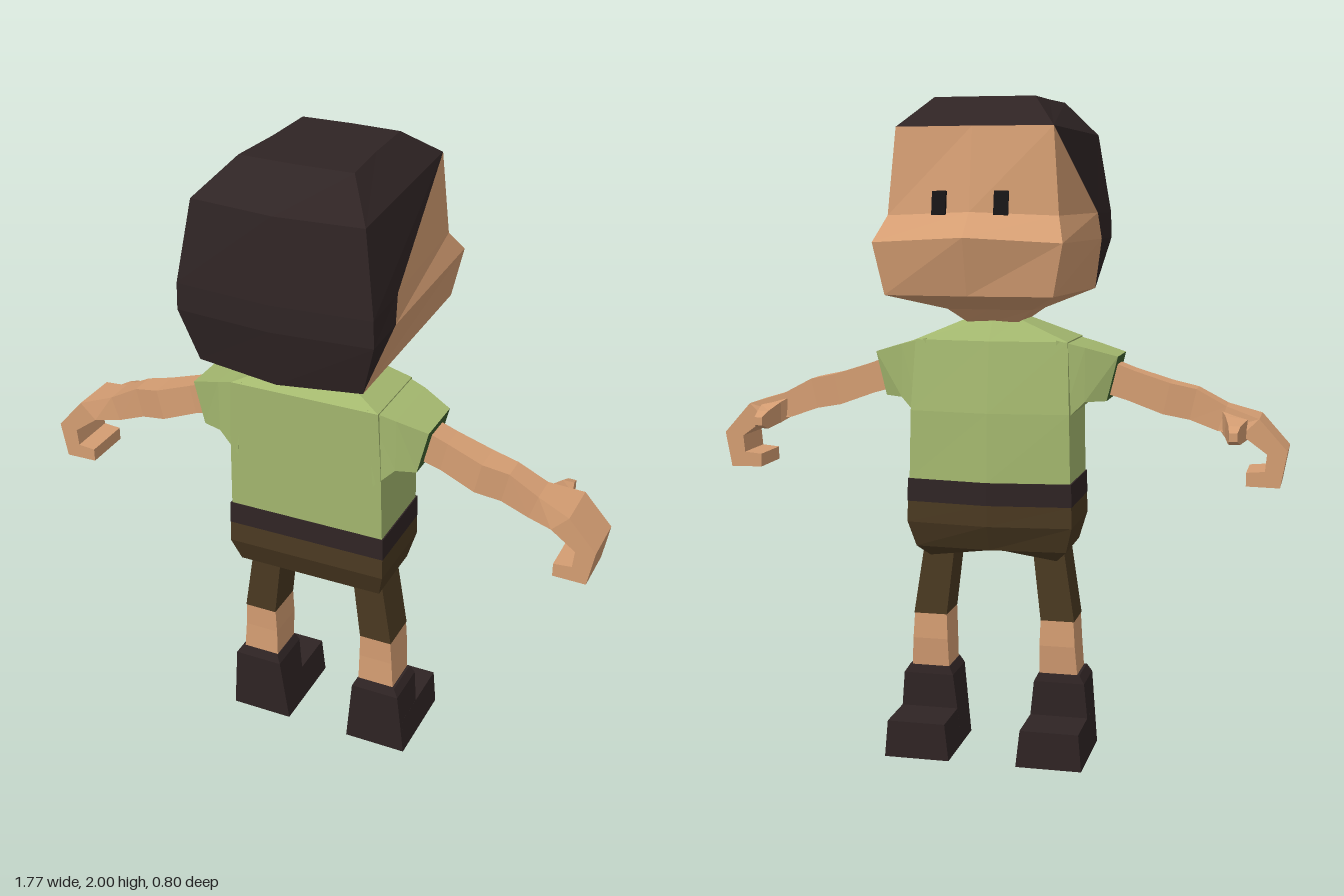
import * as THREE from 'three';

const mat = (name, color) => {
  const m = new THREE.MeshStandardMaterial({ color, flatShading: true, side: THREE.DoubleSide });
  m.name = name;
  return m;
};

// Mirrors half a cross-section (back centre to front centre) into a full ring
const ring = (half) => [
  ...half,
  ...half.slice(1, -1).reverse().map(([x, y, z]) => [-x, y, z]),
];

// Body section: half width, back z, front corner z, front centre z
const section = (y, w, back, front, centre = front, yMid = y) =>
  ring([[0, yMid, back], [w, y, back], [w, y, front], [0, yMid, centre]]);

// Flat-sided box section
const rect = (y, x0, x1, z0, z1) => [[x0, y, z1], [x1, y, z1], [x1, y, z0], [x0, y, z0]];

// Skins rings into a capped solid; pick(level, column) chooses the material.
// Caps have level -1 (first) and rings.length - 1 (last).
function loft(name, rings, materials, pick = () => 0) {
  const lists = materials.map(() => []);
  const n = rings[0].length, last = rings.length - 1;
  const tri = (k, a, b, c) => lists[k].push([a, b, c]);
  for (let l = 0; l < last; l++) {
    for (let i = 0; i < n; i++) {
      const j = (i + 1) % n, k = pick(l, i);
      tri(k, rings[l][i], rings[l][j], rings[l + 1][j]);
      tri(k, rings[l][i], rings[l + 1][j], rings[l + 1][i]);
    }
  }
  for (let i = 1; i < n - 1; i++) {
    tri(pick(-1, i), rings[0][0], rings[0][i + 1], rings[0][i]);
    tri(pick(last, i), rings[last][0], rings[last][i], rings[last][i + 1]);
  }
  // Turn the faces outward whichever way the rings run
  let volume = 0;
  const v = (p) => new THREE.Vector3(...p);
  lists.flat().forEach(([a, b, c]) => { volume += v(a).dot(v(b).cross(v(c))); });
  const geo = new THREE.BufferGeometry(), pos = [];
  lists.forEach((list, k) => {
    const start = pos.length / 3;
    list.forEach(([a, b, c]) => pos.push(...a, ...(volume < 0 ? c : b), ...(volume < 0 ? b : c)));
    geo.addGroup(start, pos.length / 3 - start, k);
  });
  geo.setAttribute('position', new THREE.Float32BufferAttribute(pos, 3));
  geo.computeVertexNormals();
  const mesh = new THREE.Mesh(geo, materials.length > 1 ? materials : materials[0]);
  mesh.name = name;
  return mesh;
}

export function createModel() {
  const model = new THREE.Group();
  model.name = 'figure';
  const skin = mat('skin', 0xd49d72);
  const dark = mat('dark brown', 0x2f2424);
  const green = mat('shirt green', 0xa3b76e);
  const lining = mat('sleeve lining', 0x40602f);
  const brown = mat('shorts brown', 0x4a3921);
  const black = mat('eye black', 0x171516);

  // Head: columns run back centre, back corner, hairline, face corner, face centre
  const head = [
    [[0, 1.34, 0.12], [0.08, 1.34, 0.12], [0.08, 1.34, 0.05], [0.08, 1.34, -0.03], [0, 1.34, -0.03]],
    [[0, 1.375, 0.13], [0.13, 1.375, 0.13], [0.14, 1.38, 0.03], [0.13, 1.38, -0.07], [0, 1.38, -0.08]],
    [[0, 1.41, 0.365], [0.25, 1.425, 0.34], [0.25, 1.425, 0.34], [0.245, 1.435, -0.335], [0, 1.435, -0.35]],
    [[0, 1.585, 0.4], [0.295, 1.585, 0.375], [0.29, 1.585, 0.215], [0.275, 1.585, -0.355], [0, 1.6, -0.4]],
    [[0, 1.665, 0.4], [0.293, 1.665, 0.375], [0.282, 1.665, 0.185], [0.25, 1.66, -0.28], [0, 1.67, -0.32]],
    [[0, 1.905, 0.37], [0.255, 1.905, 0.345], [0.23, 1.91, -0.26], [0.23, 1.91, -0.26], [0, 1.91, -0.28]],
    [[0, 2, 0.23], [0.17, 2, 0.225], [0.155, 2, 0.05], [0.15, 2, -0.13], [0, 2, -0.135]],
  ].map(ring);
  model.add(loft('head', head, [skin, dark], (level, col) =>
    level < 2 ? 0 : level > 4 ? 1 : (col >= 2 && col <= 5 ? 0 : 1)));

  // Torso, belt and shorts
  model.add(loft('shirt', [
    section(0.86, 0.25, 0.187, -0.08, -0.113),
    section(1.07, 0.245, 0.192, -0.08, -0.108),
    section(1.285, 0.235, 0.197, -0.055, -0.08),
    section(1.35, 0.08, 0.12, -0.02, -0.03),
  ], [green]));
  model.add(loft('belt', [
    section(0.79, 0.256, 0.192, -0.085, -0.115),
    section(0.86, 0.254, 0.19, -0.085, -0.115),
  ], [dark]));
  model.add(loft('shorts', [
    section(0.61, 0.2, 0.115, -0.025, -0.03, 0.64),
    section(0.645, 0.235, 0.165, -0.06, -0.075),
    section(0.725, 0.256, 0.195, -0.085, -0.113),
    section(0.79, 0.255, 0.192, -0.085, -0.114),
  ], [brown]));

  for (const s of [1, -1]) {
    const side = s > 0 ? 'left' : 'right';
    const mirror = (rings) => rings.map((r) => r.map(([x, y, z]) => [s * x, y, z]));
    // Limb section: upper point, lower point, z range
    const limb = ([ux, uy, lx, ly, z0, z1]) =>
      [[ux, uy, z0], [ux, uy, z1], [lx, ly, z1], [lx, ly, z0]];

    // Sleeve with a dark opening
    model.add(loft(side + 'Sleeve', mirror([
      [0.2, 1.29, 0.22, 1.04, -0.06, 0.193],
      [0.285, 1.268, 0.285, 1.105, -0.04, 0.183],
      [0.378, 1.24, 0.345, 1.105, 0, 0.165],
    ].map(limb)), [green, lining], (level) => (level === 2 ? 1 : 0)));

    // Arm running into a curled hand
    model.add(loft(side + 'ArmAndHand', mirror([
      [0.34, 1.225, 0.33, 1.125, 0.04, 0.122],
      [0.42, 1.195, 0.4, 1.105, 0.04, 0.122],
      [0.53, 1.16, 0.51, 1.065, 0.04, 0.135],
      [0.61, 1.143, 0.59, 1.05, 0.047, 0.125],
      [0.7, 1.095, 0.675, 1.02, 0.04, 0.13],
      [0.8, 1.065, 0.75, 1.015, 0, 0.155],
      [0.885, 0.97, 0.825, 0.96, 0, 0.155],
      [0.865, 0.86, 0.82, 0.908, 0, 0.155],
      [0.765, 0.862, 0.765, 0.903, 0, 0.155],
    ].map(limb)), [skin]));

    // Thumb pointing forward
    model.add(loft(side + 'Thumb', mirror([
      [[0.68, 1.02, 0.06], [0.78, 1.01, 0.06], [0.78, 1.065, 0.06], [0.68, 1.085, 0.06]],
      [[0.7, 1.005, 0.01], [0.765, 1, 0.01], [0.765, 1.06, 0.01], [0.7, 1.07, 0.01]],
      [[0.715, 0.995, -0.06], [0.75, 0.995, -0.06], [0.75, 1.05, -0.06], [0.715, 1.05, -0.06]],
      [[0.72, 1.01, -0.1], [0.745, 1.01, -0.1], [0.745, 1.035, -0.1], [0.72, 1.035, -0.1]],
    ]), [skin]));

    // Leg, trouser section above bare shin
    model.add(loft(side + 'TrouserLeg', mirror([
      rect(0.42, 0.15, 0.255, -0.022, 0.11),
      rect(0.635, 0.125, 0.222, -0.018, 0.112),
    ]), [brown]));
    model.add(loft(side + 'Shin', mirror([
      rect(0.24, 0.145, 0.265, -0.012, 0.108),
      rect(0.34, 0.147, 0.258, -0.024, 0.106),
      rect(0.42, 0.15, 0.253, -0.022, 0.108),
    ]), [skin]));

    // Boot: shaft with a turned-in top, and foot
    model.add(loft(side + 'BootShaft', mirror([
      rect(0, 0.105, 0.308, -0.01, 0.112),
      rect(0.225, 0.13, 0.288, -0.024, 0.125),
      rect(0.25, 0.143, 0.272, -0.018, 0.115),
    ]), [dark]));
    model.add(loft(side + 'BootFoot', mirror([
      rect(0, 0.105, 0.308, -0.177, 0.1),
      rect(0.115, 0.118, 0.298, -0.177, 0.1),
    ]), [dark]));

    // Eye plate on the forehead
    const eye = new THREE.Mesh(new THREE.BoxGeometry(0.042, 0.068, 0.009), black);
    eye.name = side + 'Eye';
    eye.position.set(s * 0.09, 1.695, -0.307);
    eye.rotation.set(0.16, -s * 0.14, 0);
    model.add(eye);
  }
  return model;
}
